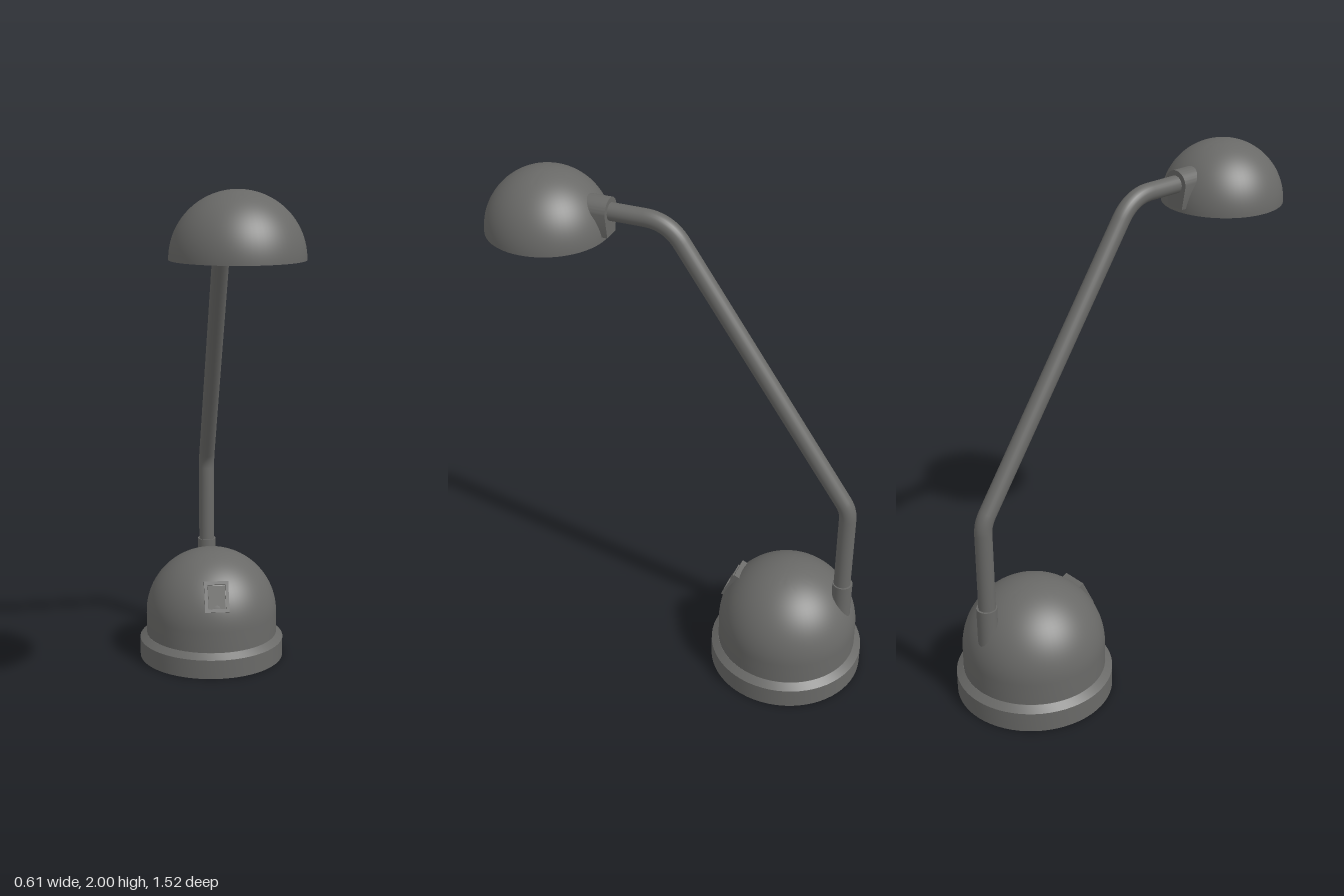
import * as THREE from 'three';
import { toCreasedNormals } from 'three/addons/utils/BufferGeometryUtils.js';

const charcoal = new THREE.MeshStandardMaterial({ color: 0x696967 });
const warm = new THREE.MeshStandardMaterial({ color: 0xeee2a8 });

const BASE_Z = -0.455, HEAD_Z = 0.525, POST_Z = -0.67, ARM_Y = 1.877;

function add(parent, name, geometry, position = [0, 0, 0], material = charcoal) {
  const mesh = new THREE.Mesh(geometry, material);
  mesh.name = name;
  mesh.position.set(...position);
  parent.add(mesh);
  return mesh;
}

// Elliptical quarter arc in (radius, height), from angle a to angle b
function arc(rx, ry, cy, a, b, steps = 20) {
  return Array.from({ length: steps + 1 }, (_, i) => {
    const t = a + (b - a) * i / steps;
    return [Math.max(0, Math.cos(t) * rx), cy + Math.sin(t) * ry];
  });
}

function lathe(points) {
  const profile = points.map(([r, y]) => new THREE.Vector2(r, y));
  return toCreasedNormals(new THREE.LatheGeometry(profile, 64), 0.5);
}

// Corners of a centred rectangle, anticlockwise
function rectangle(w, h) {
  return [[-1, -1], [1, -1], [1, 1], [-1, 1]].map(([x, y]) => new THREE.Vector2(x * w / 2, y * h / 2));
}

// Tube path through corners (z, y), each inner corner rounded by a set length
function armPath(corners, rounding) {
  const pts = corners.map(([z, y]) => new THREE.Vector3(0, y, z));
  const path = new THREE.CurvePath();
  let from = pts[0];
  for (let i = 1; i < pts.length - 1; i++) {
    const p = pts[i], r = rounding[i - 1];
    const a = p.clone().add(pts[i - 1].clone().sub(p).setLength(r));
    const b = p.clone().add(pts[i + 1].clone().sub(p).setLength(r));
    path.add(new THREE.LineCurve3(from, a));
    path.add(new THREE.QuadraticBezierCurve3(a, p, b));
    from = b;
  }
  path.add(new THREE.LineCurve3(from, pts[pts.length - 1]));
  return path;
}

export function createModel() {
  const lamp = new THREE.Group();
  lamp.name = 'deskLamp';
  const up = Math.PI / 2;

  // Weighted base: plinth with a chamfered rim, and the dome above it
  add(lamp, 'basePlinth', lathe([
    [0, 0], [0.305, 0], [0.305, 0.08], [0.278, 0.102], [0, 0.102],
  ]), [0, 0, BASE_Z]);
  add(lamp, 'baseDome', lathe([
    [0.277, 0.09], ...arc(0.277, 0.274, 0.19, 0, up, 24),
  ]), [0, 0, BASE_Z]);

  // Rocker switch set into the front of the dome
  const powerSwitch = new THREE.Group();
  powerSwitch.name = 'powerSwitch';
  powerSwitch.position.set(0, 0.326, -0.227);
  powerSwitch.rotation.x = -0.45;
  lamp.add(powerSwitch);
  const frame = new THREE.Shape(rectangle(0.1, 0.128));
  frame.holes.push(new THREE.Path(rectangle(0.074, 0.1).reverse()));
  add(powerSwitch, 'switchFrame',
    new THREE.ExtrudeGeometry(frame, { depth: 0.06, bevelEnabled: false }), [0, 0, -0.045]);
  const rocker = add(powerSwitch, 'switchRocker',
    new THREE.BoxGeometry(0.07, 0.094, 0.05), [0, 0, -0.01]);
  rocker.rotation.x = 0.1;

  // Collar holding the post at the back of the dome
  add(lamp, 'postCollar', new THREE.CylinderGeometry(0.039, 0.039, 0.28, 32), [0, 0.31, POST_Z - 0.002]);

  // Bent arm from the base to the head
  const path = armPath(
    [[POST_Z, 0.3], [POST_Z, 0.81], [0.055, ARM_Y], [0.31, ARM_Y]], [0.04, 0.09]);
  add(lamp, 'arm', new THREE.TubeGeometry(path, 160, 0.033, 24));

  // Bracket between arm and shade: round top, tapering downwards
  const bracket = new THREE.Shape();
  bracket.moveTo(-0.035, -0.09);
  bracket.lineTo(0.035, -0.09);
  bracket.lineTo(0.052, 0);
  bracket.absarc(0, 0, 0.052, 0, Math.PI, false);
  bracket.closePath();
  add(lamp, 'headBracket', toCreasedNormals(
    new THREE.ExtrudeGeometry(bracket, { depth: 0.085, bevelEnabled: false, curveSegments: 16 }), 0.5),
  [0, ARM_Y, 0.275]);

  // Hemispherical shade: inner reflector bowl, recessed ring, rim, outer dome
  add(lamp, 'shade', lathe([
    ...arc(0.145, 0.14, 1.787, up, 0, 16),
    [0.217, 1.785], [0.221, 1.768], [0.232, 1.768],
    ...arc(0.232, 0.23, 1.77, 0, up, 24),
  ]), [0, 0, HEAD_Z]);

  // Bulb and its socket inside the reflector
  add(lamp, 'bulbSocket', new THREE.CylinderGeometry(0.03, 0.03, 0.07, 24), [0, 1.9, HEAD_Z]);
  add(lamp, 'bulb', new THREE.SphereGeometry(0.046, 32, 20), [0, 1.836, HEAD_Z], warm);

  return lamp;
}
